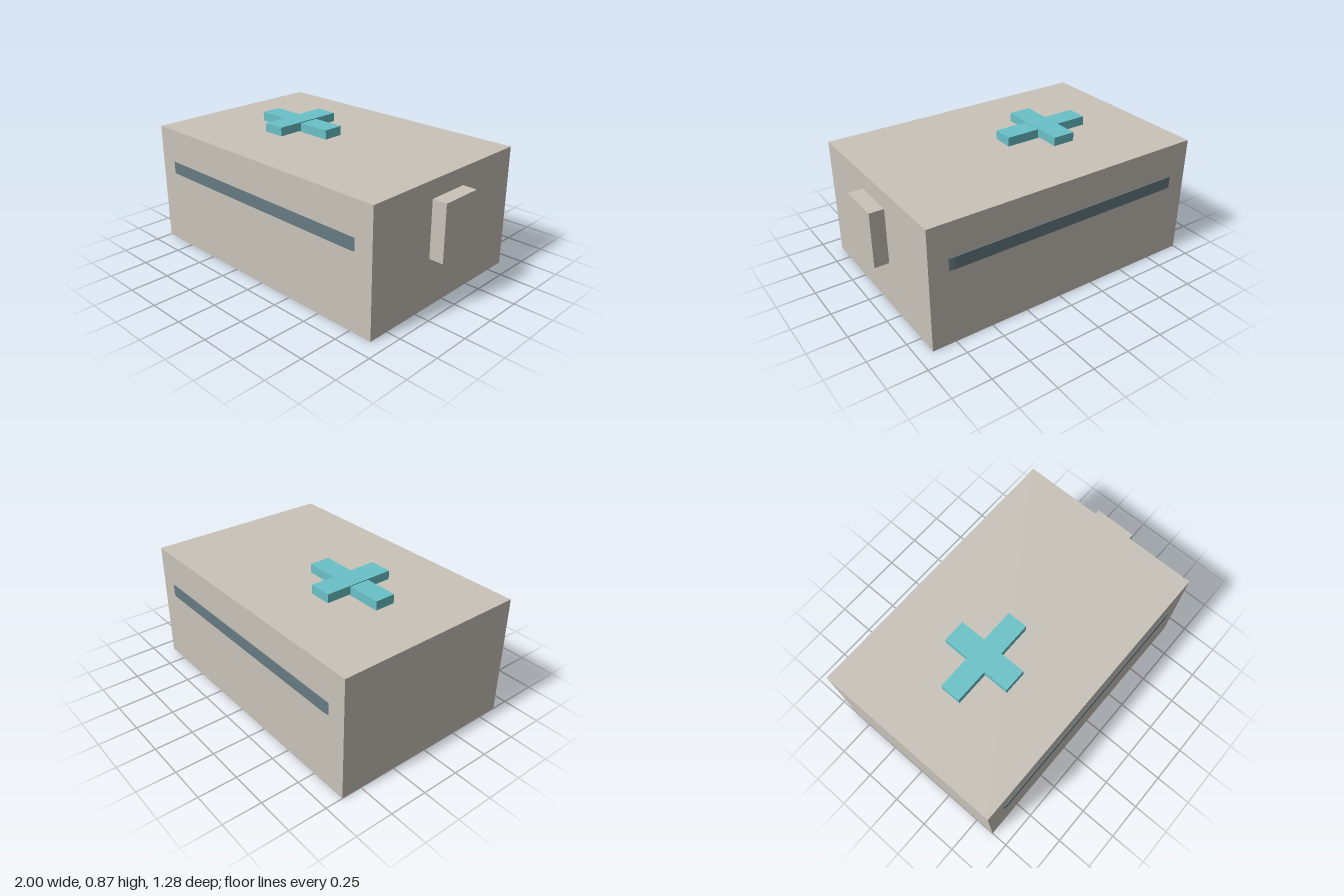
import * as THREE from 'three';

export function createModel() {
  const model = new THREE.Group();
  const casing = new THREE.MeshStandardMaterial({ color: 0xc9c3b9 });
  casing.name = 'warm grey';
  const teal = new THREE.MeshStandardMaterial({ color: 0x6ac2c8 });
  teal.name = 'teal';
  const slate = new THREE.MeshStandardMaterial({ color: 0x667a82 });
  slate.name = 'slate';

  // Box given by its lower and upper corners
  const addBox = (name, material, [x0, y0, z0], [x1, y1, z1]) => {
    const mesh = new THREE.Mesh(new THREE.BoxGeometry(x1 - x0, y1 - y0, z1 - z0), material);
    mesh.position.set((x0 + x1) / 2, (y0 + y1) / 2, (z0 + z1) / 2);
    mesh.name = name;
    model.add(mesh);
  };

  // Main case and the block on its end
  addBox('caseBody', casing, [-1, 0, -0.635], [0.905, 0.805, 0.635]);
  addBox('endBlock', casing, [0.905, 0.32, -0.143], [1, 0.69, 0.143]);

  // Raised cross on the lid, the short bar slightly higher
  addBox('crossLongBar', teal, [-0.605, 0.805, -0.068], [-0.002, 0.865, 0.068]);
  addBox('crossShortBar', teal, [-0.38, 0.814, -0.24], [-0.23, 0.871, 0.24]);

  // Round-cornered band, standing proud of the case only at front and back
  const w = 0.952, d = 0.641, r = 0.17;
  const outline = new THREE.Shape();
  outline.absarc(w - r, d - r, r, 0, Math.PI / 2);
  outline.absarc(-w + r, d - r, r, Math.PI / 2, Math.PI);
  outline.absarc(-w + r, -d + r, r, Math.PI, Math.PI * 1.5);
  outline.absarc(w - r, -d + r, r, Math.PI * 1.5, Math.PI * 2);
  const bandGeometry = new THREE.ExtrudeGeometry(outline, {
    depth: 0.08, bevelEnabled: false, curveSegments: 12,
  });
  bandGeometry.rotateX(-Math.PI / 2);
  const band = new THREE.Mesh(bandGeometry, slate);
  band.position.set(-0.0475, 0.502, 0);
  band.name = 'sideBand';
  model.add(band);

  return model;
}
